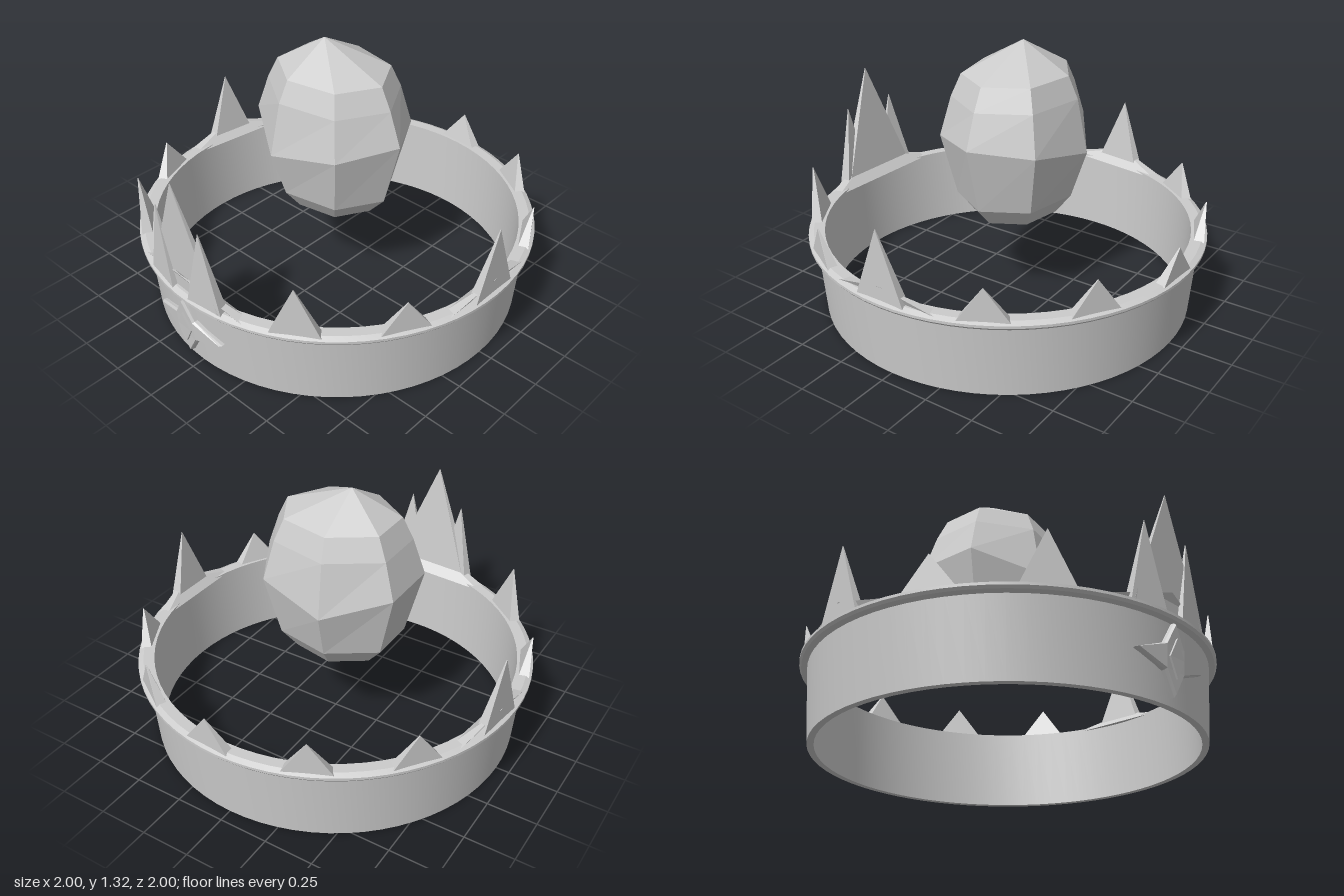
import * as THREE from 'three';
import { toCreasedNormals } from 'three/addons/utils/BufferGeometryUtils.js';

const smooth = new THREE.MeshStandardMaterial({ color: 0xcccccc });
const faceted = new THREE.MeshStandardMaterial({ color: 0xcccccc, flatShading: true });
const RIM_Y = 0.41;
const FRONT = -0.062; // angle of the front ornament, from +z towards +x

function addMesh(parent, name, geometry, material = faceted) {
  const mesh = new THREE.Mesh(geometry, material);
  mesh.name = name;
  parent.add(mesh);
  return mesh;
}

// Wraps a flat geometry round the crown; radius is a rule of height and depth
function wrap(geometry, angle, radius) {
  const p = geometry.attributes.position;
  for (let i = 0; i < p.count; i++) {
    const y = p.getY(i);
    const r = radius(y, p.getZ(i));
    const a = angle + p.getX(i) / 0.97;
    p.setXYZ(i, r * Math.sin(a), y, r * Math.cos(a));
  }
  geometry.computeVertexNormals();
  return geometry;
}

const polygon = (points) => new THREE.Shape(points.map(([x, y]) => new THREE.Vector2(x, y)));

// Triangular spike, thick at the rim and sharp at the tip
function spike(angle, height, halfWidth, lean = 0) {
  const shape = polygon([[-halfWidth, RIM_Y - 0.01], [halfWidth, RIM_Y - 0.01], [lean, height]]);
  const geometry = new THREE.ExtrudeGeometry(shape, { depth: 1, bevelEnabled: false });
  return wrap(geometry, angle, (y, z) => {
    const t = THREE.MathUtils.clamp((y - RIM_Y) / (height - RIM_Y), 0, 1);
    const inner = THREE.MathUtils.lerp(0.935, 0.978, t);
    const outer = THREE.MathUtils.lerp(0.988, 0.982, t);
    return THREE.MathUtils.lerp(inner, outer, z);
  });
}

// Faceted seven-sided gem, stacked from rings with a tip at each end
function gemGeometry() {
  const sides = 7;
  const beltY = [0.9, 0.87, 0.8, 0.89, 0.89, 0.8, 0.87];
  const rings = [[0.24, 0.46], [0.33, 0.56], [0.418, null], [0.355, 1.07], [0.3, 1.18]];
  const verts = [];
  for (const [r, y] of rings) {
    for (let k = 0; k < sides; k++) {
      const a = (k / sides) * Math.PI * 2;
      verts.push(-0.043 + r * Math.cos(a), y ?? beltY[k], -0.025 + r * 0.845 * Math.sin(a));
    }
  }
  const bottom = verts.length / 3;
  verts.push(-0.05, 0.42, -0.025, -0.1, 1.32, -0.02);
  const index = [];
  const last = (rings.length - 1) * sides;
  for (let k = 0; k < sides; k++) {
    const n = (k + 1) % sides;
    index.push(bottom, k, n, bottom + 1, last + n, last + k);
    for (let row = 0; row < last; row += sides) {
      const a = row + k, b = row + n;
      index.push(a, a + sides, b, b, a + sides, b + sides);
    }
  }
  const geometry = new THREE.BufferGeometry();
  geometry.setAttribute('position', new THREE.Float32BufferAttribute(verts, 3));
  geometry.setIndex(index);
  geometry.computeVertexNormals();
  return geometry;
}

export function createModel() {
  const model = new THREE.Group();
  model.name = 'crown';

  // Flared band with a projecting rim
  const profile = [
    [0.9, 0], [0.932, 0], [0.96, 0.367], [0.988, 0.373], [0.998, 0.385],
    [0.998, 0.398], [0.972, RIM_Y], [0.918, RIM_Y], [0.9, 0],
  ].map(([x, y]) => new THREE.Vector2(x, y));
  addMesh(model, 'band', toCreasedNormals(new THREE.LatheGeometry(profile, 72), 0.4), smooth);

  // Spikes round the rim, evenly spaced from one side of the front to the other
  const spikes = new THREE.Group();
  spikes.name = 'spikes';
  model.add(spikes);
  const heights = [0.66, 0.565, 0.755, 0.57, 0.57, 0.56, 0.57, 0.565, 0.755, 0.565, 0.66];
  heights.forEach((h, i) => {
    const angle = THREE.MathUtils.degToRad(32 + 28.8 * i);
    addMesh(spikes, 'spike', spike(angle, h, h > 0.7 ? 0.13 : 0.118));
    if (h > 0.7) addMesh(spikes, 'spikeFoot', spike(angle, 0.477, 0.29));
  });

  // Tall front spike with a smaller peak on each side
  const front = new THREE.Group();
  front.name = 'frontSpike';
  model.add(front);
  addMesh(front, 'centrePeak', spike(FRONT, 1.0, 0.24));
  addMesh(front, 'frontFoot', spike(FRONT, 0.51, 0.37));
  for (const s of [-1, 1]) {
    addMesh(front, 'sidePeak', spike(FRONT + s * 0.16, 0.81, 0.1, s * -0.002));
  }

  // Four-pointed star with a raised diamond, following the slope of the band
  const onBand = (y, z) => 0.93 + 0.08 * y + z;
  const tips = [[0.23, 0], [0, 0.165], [-0.23, 0], [0, -0.165]];
  const corners = [[0.065, 0.06], [-0.065, 0.06], [-0.065, -0.06], [0.065, -0.06]];
  const star = tips.flatMap(([x, y], i) => [[x, y + 0.2], [corners[i][0], corners[i][1] + 0.2]]);
  const starGeometry = new THREE.ExtrudeGeometry(polygon(star), {
    depth: 0.018, bevelThickness: 0.012, bevelSize: 0.008, bevelOffset: -0.008, bevelSegments: 1,
  });
  addMesh(model, 'star', wrap(starGeometry, FRONT, onBand));
  const diamond = [[0.048, 0.2], [0, 0.29], [-0.048, 0.2], [0, 0.11]];
  const diamondGeometry = new THREE.ExtrudeGeometry(polygon(diamond), { depth: 0.038, bevelEnabled: false });
  addMesh(model, 'starDiamond', wrap(diamondGeometry, FRONT, onBand));

  addMesh(model, 'gem', gemGeometry());
  return model;
}
